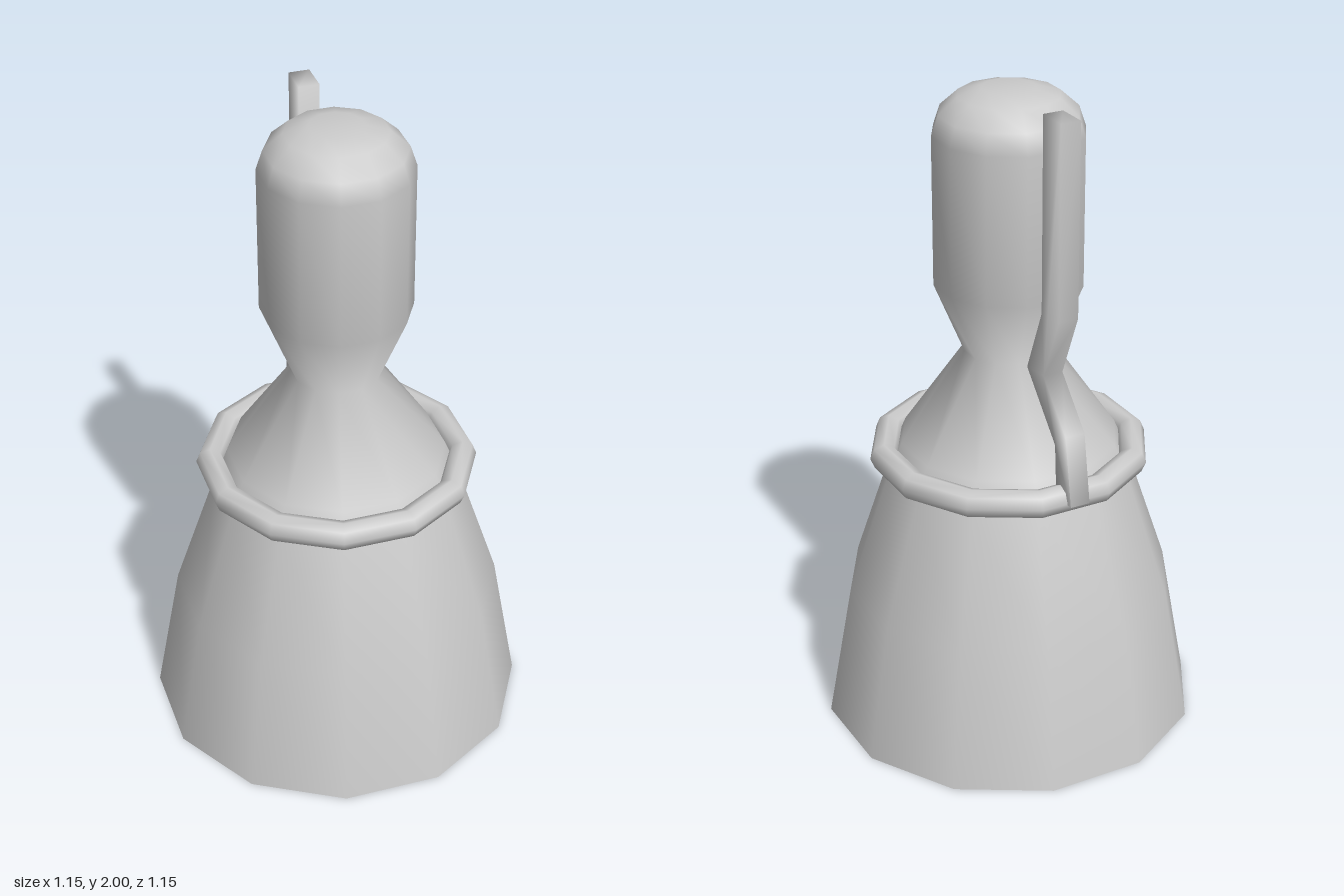
import * as THREE from 'three';
import { toCreasedNormals } from 'three/addons/utils/BufferGeometryUtils.js';

const SIDES = 12;

export function createModel() {
  const group = new THREE.Group();
  const material = new THREE.MeshStandardMaterial({ color: 0xcccccc, side: THREE.DoubleSide });
  const add = (name, geometry) => {
    const mesh = new THREE.Mesh(geometry, material);
    mesh.name = name;
    group.add(mesh);
    return mesh;
  };

  // Hollow bell skirt, shoulder cone, pinched neck and rounded grip, open underneath
  const profile = [
    [0.577, 0], [0.5, 0.43], [0.37, 0.82], [0.33, 0.915], [0.135, 1.2],
    [0.225, 1.42], [0.225, 1.87], [0.205, 1.93], [0.15, 1.98], [0.08, 2], [0, 2],
  ].map(([r, y]) => new THREE.Vector2(r, y));
  add('body', new THREE.LatheGeometry(profile, SIDES));

  // Collar ring around the top of the skirt
  const ring = new THREE.TorusGeometry(0.383, 0.043, 8, SIDES);
  ring.rotateX(Math.PI / 2);
  add('collarRing', ring).position.y = 0.873;

  // Bent lever: a flat bar following the neck, rising from the ring at the back.
  // Each entry is inner radius, inner height, outer radius, outer height.
  const bends = [
    [0.345, 0.87, 0.43, 0.87],
    [0.335, 1.03, 0.395, 1.08],
    [0.168, 1.21, 0.265, 1.22],
    [0.251, 1.41, 0.349, 1.42],
    [0.251, 2, 0.349, 2],
  ];
  const outline = [
    ...bends.map(([r, y]) => new THREE.Vector2(r, y)),
    ...bends.map(([, , r, y]) => new THREE.Vector2(r, y)).reverse(),
  ];
  const thickness = 0.062;
  const bar = new THREE.ExtrudeGeometry(new THREE.Shape(outline), { depth: thickness, bevelEnabled: false });
  bar.translate(0, 0, -thickness / 2);
  bar.rotateY(THREE.MathUtils.degToRad(75));
  add('lever', toCreasedNormals(bar, 1.7));

  return group;
}
